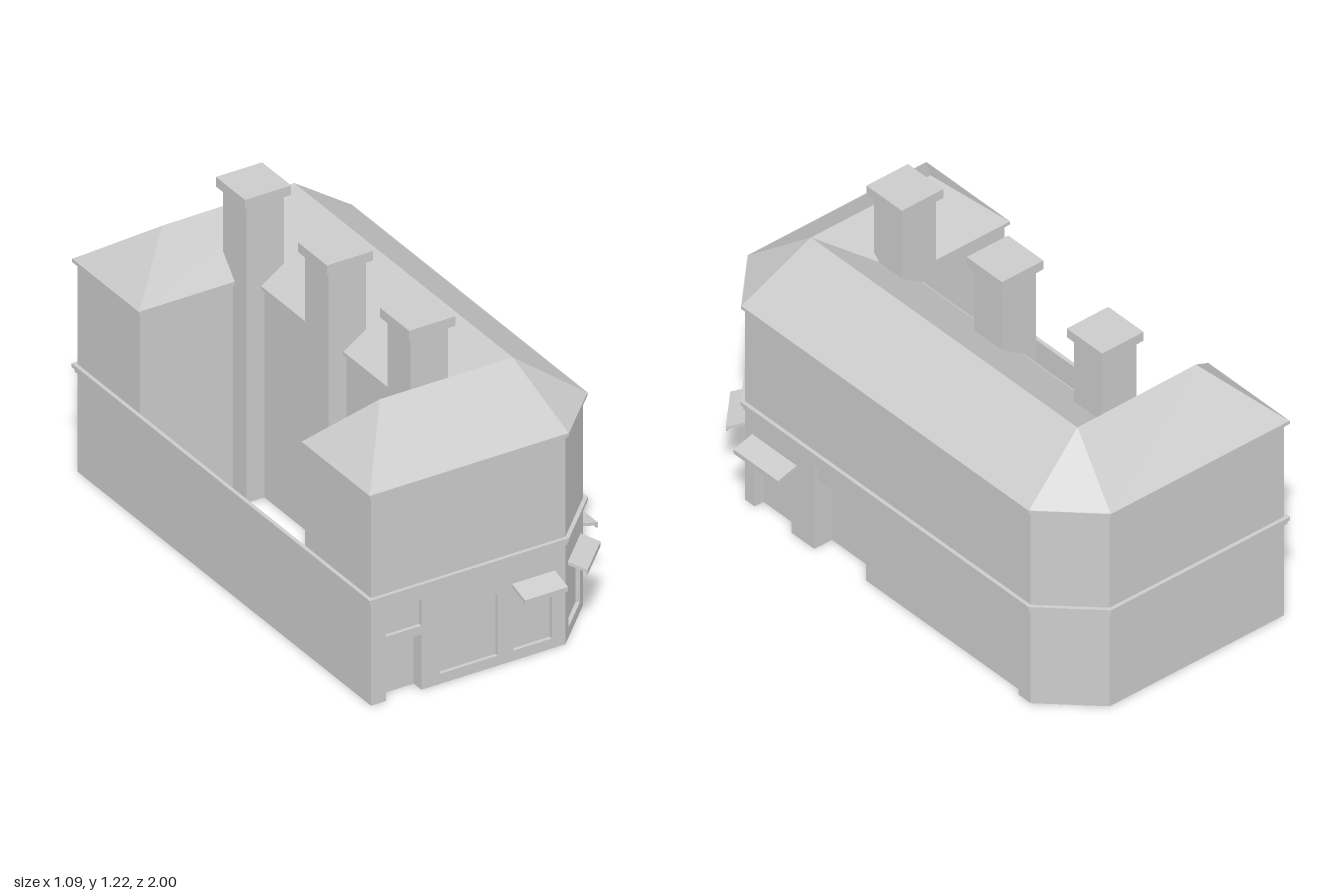
import * as THREE from 'three';

const mat = new THREE.MeshStandardMaterial({ color: 0xcccccc, flatShading: true, side: THREE.DoubleSide });

// Plan outlines as [x, z], anticlockwise seen from above
const street = [[-0.53, 0.915], [0.26, 0.915], [0.455, 0.72], [0.455, -0.79], [0.26, -0.98], [-0.53, -0.98]];
const court = [[-0.53, -0.575], [-0.08, -0.575], [-0.08, 0.5], [-0.53, 0.5]];
const uPlan = [...street, ...court];

function add(parent, name, geometry) {
  const mesh = new THREE.Mesh(geometry, mat);
  mesh.name = name;
  parent.add(mesh);
  return mesh;
}

// Flat polygons given as lists of [x, y, z] corners
function polygons(faces) {
  const pos = [];
  for (const f of faces)
    for (let i = 1; i < f.length - 1; i++) pos.push(...f[0], ...f[i], ...f[i + 1]);
  const g = new THREE.BufferGeometry();
  g.setAttribute('position', new THREE.Float32BufferAttribute(pos, 3));
  g.computeVertexNormals();
  return g;
}

// Vertical wall between two plan points
const wall = (a, b, y0, y1) => [[a[0], y0, a[1]], [b[0], y0, b[1]], [b[0], y1, b[1]], [a[0], y1, a[1]]];

// Mitred outward offset of a closed plan
function offset(pts, d) {
  const n = pts.length;
  const normal = (a, b) => {
    const dx = b[0] - a[0], dz = b[1] - a[1], l = Math.hypot(dx, dz);
    return [-dz / l, dx / l];
  };
  return pts.map((p, i) => {
    const m = normal(pts[(i + n - 1) % n], p), k = normal(p, pts[(i + 1) % n]);
    const s = d / (1 + m[0] * k[0] + m[1] * k[1]);
    return [p[0] + (m[0] + k[0]) * s, p[1] + (m[1] + k[1]) * s];
  });
}

// Moulding ring around a plan
function moulding(parent, name, plan, d, y0, y1) {
  const v = (pts) => pts.map(([x, z]) => new THREE.Vector2(x, -z));
  const shape = new THREE.Shape(v(offset(plan, d)));
  shape.holes.push(new THREE.Path(v(plan)));
  const g = new THREE.ExtrudeGeometry(shape, { depth: y1 - y0, bevelEnabled: false });
  g.rotateX(-Math.PI / 2);
  add(parent, name, g).position.y = y0;
}

// Wall facing +z with recessed openings { u0, u1, y0, y1, d, open }
function facade(u0, u1, h, openings, z = 0) {
  const g = new THREE.Group();
  const s = new THREE.Shape();
  s.moveTo(u0, 0);
  for (const o of openings.filter((o) => o.y0 === 0).sort((a, b) => a.u0 - b.u0)) {
    s.lineTo(o.u0, 0);
    s.lineTo(o.u0, o.y1);
    s.lineTo(o.u1, o.y1);
    s.lineTo(o.u1, 0);
  }
  s.lineTo(u1, 0);
  s.lineTo(u1, h);
  s.lineTo(u0, h);
  for (const o of openings) {
    if (o.y0 > 0) {
      s.holes.push(new THREE.Path([[o.u0, o.y0], [o.u0, o.y1], [o.u1, o.y1], [o.u1, o.y0]]
        .map(([x, y]) => new THREE.Vector2(x, y))));
    }
    // Reveal: a box without its front, and without its back where a deeper wall follows
    const box = new THREE.BoxGeometry(o.u1 - o.u0, o.y1 - o.y0, o.d);
    const idx = Array.from(box.index.array);
    box.setIndex([...idx.slice(0, 18), ...(o.y0 > 0 ? idx.slice(18, 24) : []), ...(o.open ? [] : idx.slice(30))]);
    add(g, o.name, box).position.set((o.u0 + o.u1) / 2, (o.y0 + o.y1) / 2, z - o.d / 2);
  }
  add(g, 'wallFace', new THREE.ShapeGeometry(s)).position.z = z;
  return g;
}

// Sloping awning with a short hanging front, projecting toward +z
function awning(u, width, reach) {
  const p = [[0, 0.307], [reach, 0.283], [reach, 0.265], [reach - 0.008, 0.265], [reach - 0.008, 0.274], [0, 0.294]];
  const s = new THREE.Shape(p.map(([z, y]) => new THREE.Vector2(-z, y)));
  const g = new THREE.ExtrudeGeometry(s, { depth: width, bevelEnabled: false });
  g.rotateY(Math.PI / 2);
  g.translate(u - width / 2, 0, 0);
  return g;
}

export function createModel() {
  const model = new THREE.Group();
  model.name = 'cornerBuilding';

  // Ground floor street walls, one list of openings per side
  const op = (name, u0, u1, y0, y1, d, open = false) => ({ name, u0, u1, y0, y1, d, open });
  const sides = [
    { name: 'frontWall', awning: [0.66, 0.175, 0.085], openings: [
      op('doorRecess', 0.06, 0.205, 0, 0.22, 0.05),
      op('smallWindow', 0.06, 0.205, 0.255, 0.36, 0.015),
      op('shopWindow', 0.28, 0.515, 0.04, 0.285, 0.015),
      op('awningWindow', 0.58, 0.735, 0.04, 0.275, 0.015)] },
    { name: 'cornerWall', awning: [0.138, 0.2, 0.07], openings: [
      op('cornerWindow', 0.052, 0.224, 0.04, 0.275, 0.015)] },
    { name: 'rightWall', awning: [0.155, 0.235, 0.085], openings: [
      op('sideDoor', 0.05, 0.245, 0, 0.275, 0.04),
      op('longRecess', 0.365, 1.445, 0, 0.36, 0.02, true)] },
    { name: 'backCornerWall', openings: [] },
    { name: 'backWall', openings: [] },
    { name: 'leftWall', openings: [] },
  ];
  sides.forEach((side, i) => {
    const a = street[i], b = street[(i + 1) % street.length];
    const dx = b[0] - a[0], dz = b[1] - a[1];
    const g = facade(0, Math.hypot(dx, dz), 0.41, side.openings);
    g.name = side.name;
    g.position.set(a[0], 0, a[1]);
    g.rotation.y = Math.atan2(-dz, dx);
    if (side.awning) add(g, 'awning', awning(...side.awning));
    if (side.name === 'rightWall') {
      const inner = facade(0.365, 1.445, 0.36, [op('entrance', 0.3655, 0.615, 0, 0.285, 0.06)], -0.02);
      inner.name = 'recessedWall';
      g.add(inner);
    }
    model.add(g);
  });

  // Upper floor, and courtyard walls running down to the ground
  add(model, 'upperWalls', polygons(uPlan.flatMap((p, i) => {
    const q = uPlan[(i + 1) % uPlan.length];
    if (i >= 6 && i <= 8) return [wall(p, q, 0, 0.835)];
    return [wall(p, q, 0.41, 0.835)];
  })));

  // Mouldings
  moulding(model, 'lowerCornice', street, 0.008, 0.398, 0.414);
  moulding(model, 'upperCornice', street, 0.015, 0.414, 0.428);
  moulding(model, 'eavesLower', uPlan, 0.007, 0.824, 0.832);
  moulding(model, 'eavesUpper', uPlan, 0.014, 0.832, 0.845);

  // Hipped roof: eaves points e, ridge points A to D
  const e = offset(uPlan, 0.014).map(([x, z]) => [x, 0.843, z]);
  const A = [-0.34, 1.04, 0.67], B = [0.2, 1.04, 0.67], C = [0.2, 1.04, -0.74], D = [-0.34, 1.04, -0.735];
  add(model, 'roof', polygons([
    [e[0], e[1], B, A],
    [e[1], e[2], B],
    [e[2], e[3], C, B],
    [e[3], e[4], C],
    [e[4], e[5], D, C],
    [e[5], e[6], D],
    [e[6], e[7], C, D],
    [e[7], e[8], B, C],
    [e[8], e[9], A, B],
    [e[9], e[0], A],
  ]));

  // Chimneys standing in the courtyard against the inner walls
  for (const z of [0.497, -0.033, -0.563]) {
    const chimney = new THREE.Group();
    chimney.name = 'chimney';
    chimney.position.set(-0.077, 0, z);
    add(chimney, 'shaft', new THREE.BoxGeometry(0.153, 1.19, 0.15)).position.y = 0.595;
    add(chimney, 'cap', new THREE.BoxGeometry(0.188, 0.038, 0.187)).position.y = 1.201;
    model.add(chimney);
  }
  return model;
}
